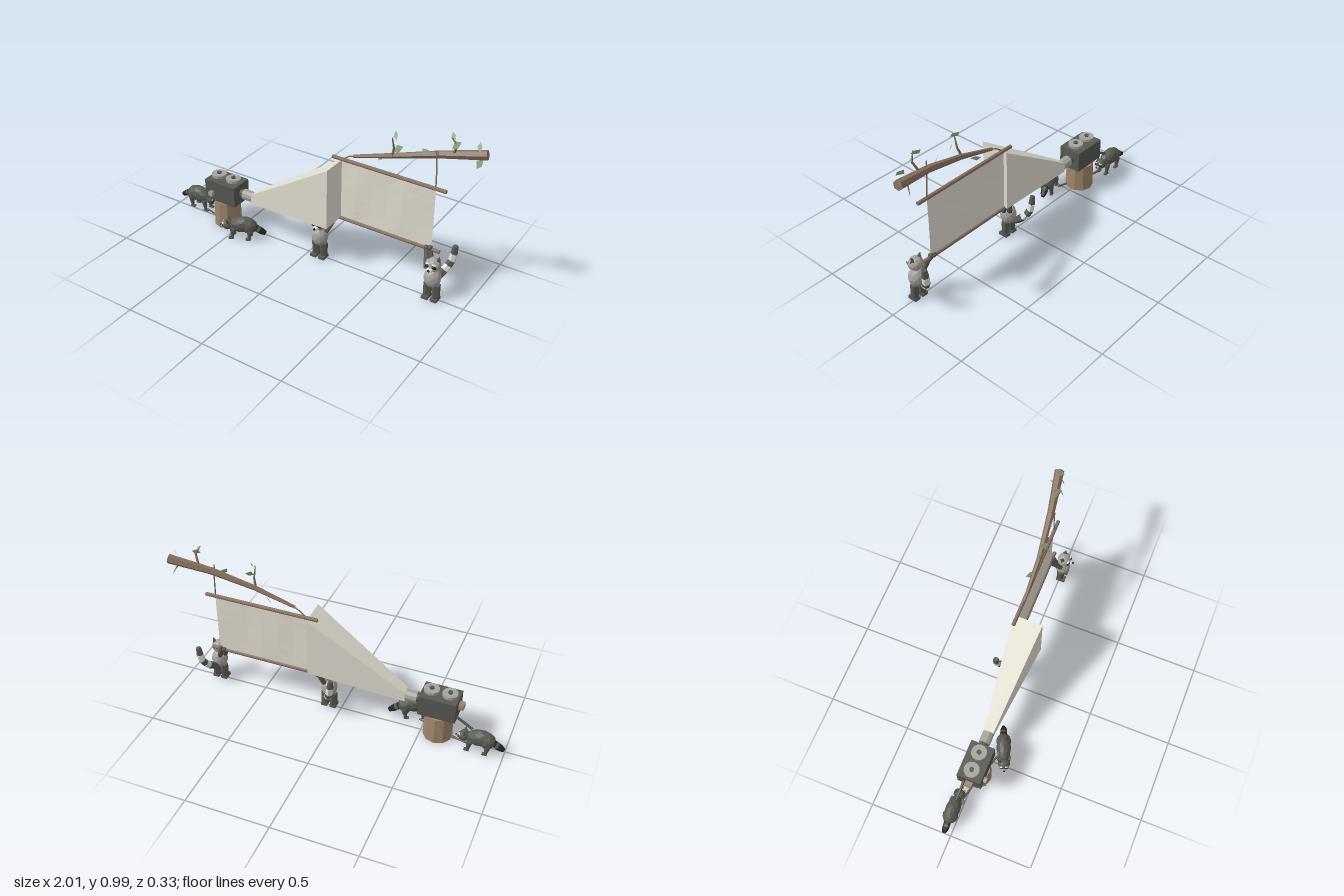
import * as THREE from 'three';

const mat = (name, color, extra = {}) => Object.assign(new THREE.MeshStandardMaterial({ color, flatShading: true, ...extra }), { name });
const M = {
  wood: mat('cut wood', 0xa0866c),
  bark: mat('bark', 0x86705d),
  metal: mat('dark metal', 0x565851),
  steel: mat('light metal', 0xa3a59c),
  sheet: mat('pale cloth', 0xe0ddd0, { side: THREE.DoubleSide }),
  fur: mat('grey fur', 0xa6a49e),
  dark: mat('dark fur', 0x5a5a53),
  black: mat('black', 0x25221f),
  white: mat('white fur', 0xe4e2da),
  leaf: mat('leaf green', 0x97b68b, { side: THREE.DoubleSide }),
};
const V = (a) => new THREE.Vector3(...a);

function add(parent, name, geo, material, pos = [0, 0, 0], rot = [0, 0, 0], scale = [1, 1, 1]) {
  const m = new THREE.Mesh(geo, material);
  m.name = name;
  m.position.set(...pos);
  m.rotation.set(...rot);
  m.scale.set(...scale);
  parent.add(m);
  return m;
}
const box = (p, name, size, material, pos, rot) => add(p, name, new THREE.BoxGeometry(...size), material, pos, rot);
const blob = (p, name, size, material, pos, rot) => add(p, name, new THREE.IcosahedronGeometry(1, 1), material, pos, rot, size);

// Tapered rod from a to b
function rod(p, name, a, b, ra, rb, material, sides = 6) {
  const A = V(a), B = V(b), d = B.clone().sub(A);
  const m = add(p, name, new THREE.CylinderGeometry(rb, ra, d.length(), sides), material, A.clone().add(B).multiplyScalar(0.5).toArray());
  m.quaternion.setFromUnitVectors(new THREE.Vector3(0, 1, 0), d.normalize());
  return m;
}

// Ringed tail along a curve
function tail(p, pts, radii, mats) {
  const q = new THREE.CatmullRomCurve3(pts.map(V)).getPoints(mats.length);
  mats.forEach((m, i) => rod(p, 'tailRing', q[i].toArray(), q[i + 1].toArray(), radii[i], radii[i + 1], m));
}

// Head facing +z, centred on its own origin
function head(p, pos, furMat, muzzleMat, size = 1) {
  const h = new THREE.Group();
  h.name = 'head';
  h.position.set(...pos);
  h.scale.setScalar(size);
  p.add(h);
  blob(h, 'skull', [0.046, 0.042, 0.042], furMat, [0, 0, 0]);
  blob(h, 'muzzle', [0.019, 0.015, 0.024], muzzleMat, [0, -0.014, 0.034]);
  blob(h, 'nose', [0.008, 0.007, 0.007], M.black, [0, -0.01, 0.057]);
  for (const s of [-1, 1]) {
    blob(h, 'eyeMask', [0.015, 0.01, 0.008], M.black, [s * 0.021, 0.003, 0.034], [0, s * 0.45, -s * 0.4]);
    blob(h, 'brow', [0.014, 0.006, 0.008], M.white, [s * 0.02, 0.017, 0.031], [0, s * 0.45, -s * 0.4]);
    add(h, 'ear', new THREE.ConeGeometry(0.017, 0.036, 4), M.dark, [s * 0.029, 0.042, -0.004], [0, 0, -s * 0.3]);
  }
  return h;
}

// Upright animal facing +z; side = direction its tail swings
function standing(root, name, x, side) {
  const g = new THREE.Group();
  g.name = name;
  g.position.x = x;
  root.add(g);
  blob(g, 'body', [0.05, 0.064, 0.049], M.fur, [0, 0.142, 0.005]);
  head(g, [0, 0.23, 0.01], M.fur, M.white);
  for (const s of [-1, 1]) {
    rod(g, 'leg', [s * 0.025, 0.1, 0.003], [s * 0.027, 0.012, 0.003], 0.025, 0.022, M.dark);
    box(g, 'foot', [0.038, 0.018, 0.056], M.dark, [s * 0.027, 0.009, 0.009]);
  }
  // Both arms reach inward to the lower pole
  const hands = [[-side * 0.078, 0.275, -0.053], [-side * 0.055, 0.28, -0.053]];
  hands.forEach((h, i) => {
    rod(g, 'arm', [-side * (i ? 0.02 : 0.04), 0.185, i ? -0.025 : 0.005], h, 0.016, 0.012, M.dark);
    blob(g, 'paw', [0.015, 0.018, 0.016], M.dark, h);
  });
  tail(g, [[0, 0.105, -0.03], [side * 0.025, 0.145, -0.085], [side * 0.05, 0.2, -0.12], [side * 0.062, 0.295, -0.125]],
    [0.018, 0.022, 0.023, 0.023, 0.022, 0.021, 0.015], [M.dark, M.dark, M.white, M.dark, M.white, M.dark]);
}

// Animal on four legs facing +x
function walking(root, name, pos, yaw) {
  const g = new THREE.Group();
  g.name = name;
  g.position.set(...pos);
  g.rotation.y = yaw;
  root.add(g);
  blob(g, 'body', [0.085, 0.052, 0.044], M.dark, [-0.005, 0.092, 0], [0, 0, -0.12]);
  blob(g, 'rump', [0.05, 0.048, 0.045], M.dark, [-0.045, 0.085, 0]);
  head(g, [0.09, 0.083, 0], M.dark, M.fur, 0.78).rotation.set(0, Math.PI / 2, 0);
  for (const s of [-1, 1]) for (const x of [-0.055, 0.05]) {
    rod(g, 'leg', [x, 0.07, s * 0.026], [x + 0.008, 0.008, s * 0.027], 0.02, 0.009, M.dark);
    box(g, 'foot', [0.03, 0.01, 0.018], M.dark, [x + 0.013, 0.005, s * 0.027]);
  }
  tail(g, [[-0.07, 0.088, 0], [-0.1, 0.07, 0], [-0.145, 0.045, 0]],
    [0.015, 0.019, 0.021, 0.021, 0.019, 0.012], [M.dark, M.black, M.dark, M.black, M.black]);
}

// Tapering beam between two rectangles, closed at both ends
function beamGeometry() {
  const rect = (x, y0, y1, z0, z1) => [x, y0, z0, x, y0, z1, x, y1, z1, x, y1, z0];
  const geo = new THREE.BufferGeometry();
  geo.setAttribute('position', new THREE.Float32BufferAttribute([
    ...rect(-0.4, 0.207, 0.268, -0.03, 0.03), ...rect(0.18, 0.274, 0.65, -0.078, 0.097)], 3));
  const idx = [0, 1, 2, 0, 2, 3, 4, 6, 5, 4, 7, 6];
  for (let i = 0; i < 4; i++) {
    const j = (i + 1) % 4;
    idx.push(i, i + 4, j, j, i + 4, j + 4);
  }
  geo.setIndex(idx);
  const flat = geo.toNonIndexed();
  flat.computeVertexNormals();
  return flat;
}

export function createModel() {
  const root = new THREE.Group();
  root.name = 'forestCinema';

  // Stump and projector
  add(root, 'stump', new THREE.CylinderGeometry(0.082, 0.086, 0.168, 10), M.wood, [-0.6, 0.084, 0.005]);
  box(root, 'projectorBody', [0.22, 0.13, 0.144], M.metal, [-0.6, 0.238, 0.005]);
  box(root, 'crankBlock', [0.032, 0.034, 0.042], M.wood, [-0.724, 0.25, 0.01]);
  add(root, 'focusKnob', new THREE.CylinderGeometry(0.018, 0.018, 0.02, 8), M.steel, [-0.66, 0.222, 0.086], [Math.PI / 2, 0, 0]);
  rod(root, 'lensBase', [-0.492, 0.238, 0], [-0.46, 0.238, 0], 0.028, 0.028, M.metal, 10);
  rod(root, 'lens', [-0.468, 0.238, 0], [-0.4, 0.238, 0], 0.035, 0.033, M.steel, 10);
  for (const x of [-0.655, -0.547]) {
    add(root, 'reel', new THREE.CylinderGeometry(0.046, 0.046, 0.018, 12), M.steel, [x, 0.319, 0.004]);
    add(root, 'reelSpindle', new THREE.CylinderGeometry(0.014, 0.014, 0.034, 8), M.metal, [x, 0.319, 0.004]);
  }
  // Power cable and the cord along the ground
  rod(root, 'cable', [-0.69, 0.208, -0.03], [-0.745, 0.174, -0.03], 0.008, 0.008, M.metal);
  rod(root, 'cable', [-0.745, 0.174, -0.03], [-0.81, 0.138, -0.034], 0.008, 0.008, M.metal);
  rod(root, 'groundCord', [-0.79, 0.009, -0.02], [-0.66, 0.009, 0.01], 0.006, 0.006, M.metal);
  rod(root, 'groundCord', [-0.54, 0.009, 0.05], [-0.47, 0.012, 0.07], 0.006, 0.006, M.metal);

  // Light beam and hanging screen
  add(root, 'lightBeam', beamGeometry(), M.sheet);
  const cloth = new THREE.PlaneGeometry(0.578, 0.375, 6, 5);
  const p = cloth.attributes.position;
  for (let i = 0; i < p.count; i++) {
    const c = i % 7, r = Math.floor(i / 7);
    p.setZ(i, 0.004 * Math.sin((r / 5) * Math.PI) * Math.sin(c * 1.9));
  }
  cloth.computeVertexNormals();
  add(root, 'screen', cloth, M.sheet, [0.469, 0.464, -0.056]);
  rod(root, 'topPole', [0.12, 0.655, -0.055], [0.82, 0.655, -0.055], 0.011, 0.011, M.bark, 8);
  rod(root, 'bottomPole', [0.13, 0.272, -0.055], [0.81, 0.272, -0.055], 0.011, 0.011, M.bark, 8);

  // Branch, strings, twigs and leaves
  const spine = [[0.26, 0.702, -0.045], [0.5, 0.775, -0.052], [0.75, 0.845, -0.082], [0.995, 0.895, -0.126]];
  const radii = [0.009, 0.015, 0.021, 0.028];
  for (let i = 0; i < 3; i++) rod(root, 'branch', spine[i], spine[i + 1], radii[i], radii[i + 1], M.bark);
  const lines = [
    ['string', [0.285, 0.712, -0.047], [0.23, 0.69, -0.05], 0.004, 0.004],
    ['string', [0.23, 0.69, -0.05], [0.185, 0.655, -0.055], 0.004, 0.004],
    ['string', [0.745, 0.875, -0.058], [0.752, 0.76, -0.06], 0.004, 0.004],
    ['string', [0.752, 0.76, -0.06], [0.757, 0.655, -0.055], 0.004, 0.004],
    ['twig', [0.495, 0.775, -0.052], [0.51, 0.83, -0.035], 0.008, 0.006],
    ['twig', [0.51, 0.83, -0.035], [0.508, 0.9, -0.015], 0.006, 0.003],
    ['twig', [0.82, 0.86, -0.095], [0.85, 0.93, -0.07], 0.008, 0.006],
    ['twig', [0.85, 0.93, -0.07], [0.825, 0.975, -0.055], 0.006, 0.003],
    ['twig', [0.93, 0.88, -0.12], [0.955, 0.825, -0.162], 0.006, 0.001],
  ];
  for (const [n, a, b, ra, rb] of lines) rod(root, n, a, b, ra, rb, M.bark, 5);
  const leafShape = new THREE.Shape([[0, -0.03], [0.019, -0.005], [0.01, 0.029], [-0.019, 0.009]].map((a) => new THREE.Vector2(...a)));
  const leafGeo = new THREE.ShapeGeometry(leafShape);
  const leaves = [[0.518, 0.908, -0.032, 0.8], [0.54, 0.842, -0.022, -0.6], [0.41, 0.727, -0.068, 1.4], [0.685, 0.845, -0.06, 1.3],
    [0.822, 0.971, -0.074, 0.9], [0.847, 0.938, -0.06, -0.5], [0.955, 0.935, -0.106, 0.6], [0.965, 0.85, -0.093, -0.2]];
  leaves.forEach(([x, y, z, a], i) => add(root, 'leaf', leafGeo, M.leaf, [x, y, z], [-0.5, i % 2 ? 0.6 : -0.6, a]));

  // Animals
  standing(root, 'leftHolder', 0.808, 1);
  standing(root, 'rightHolder', 0.078, -1);
  walking(root, 'walkerBehindProjector', [-0.855, 0, -0.038], 0);
  walking(root, 'walkerBesideProjector', [-0.42, 0, 0.1], Math.PI + 0.39);
  return root;
}
